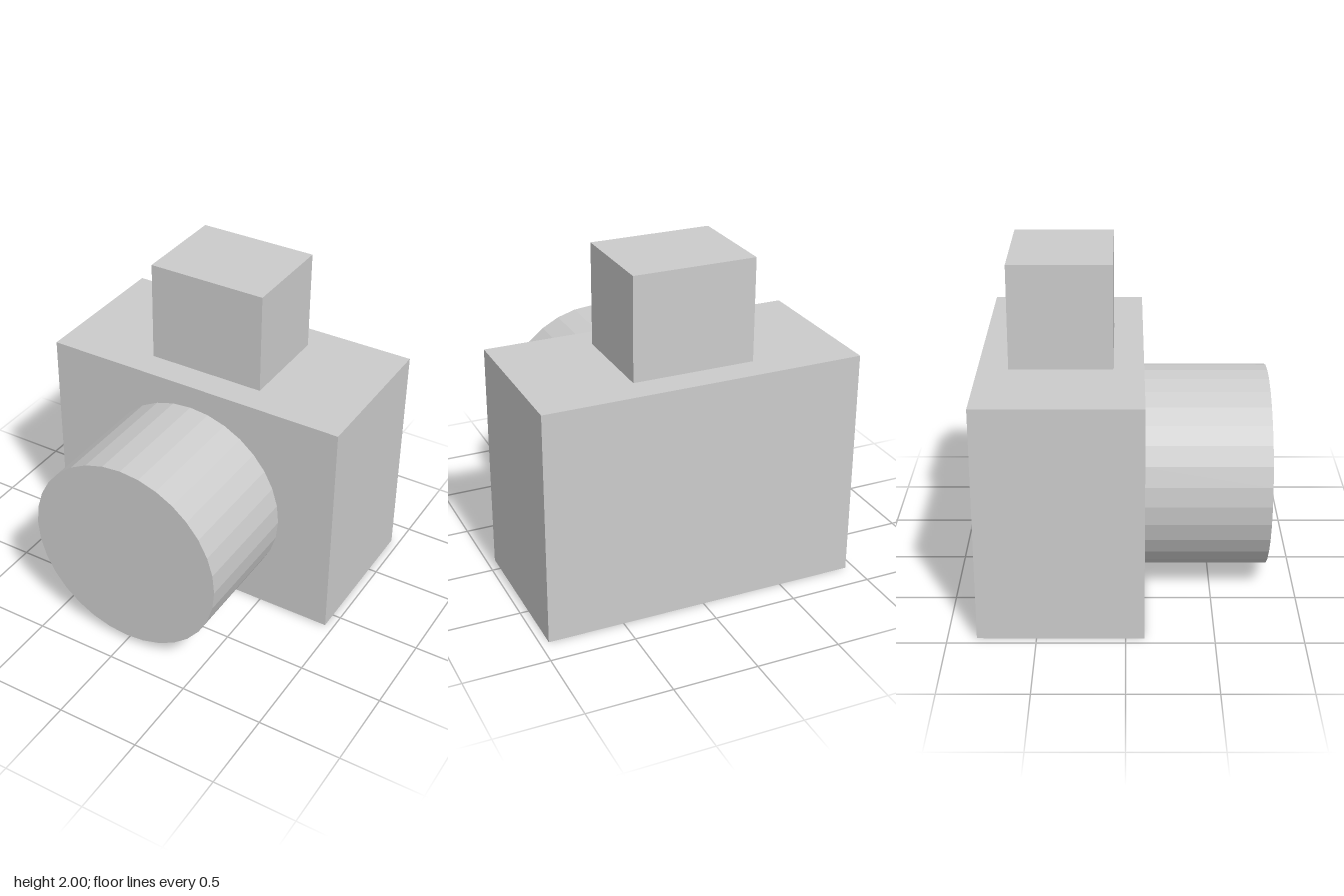
import * as THREE from 'three';

const material = new THREE.MeshStandardMaterial({ color: 0xcccccc, flatShading: true });

// Box given by its minimum and maximum corners
function box(name, [x0, y0, z0], [x1, y1, z1]) {
  const mesh = new THREE.Mesh(new THREE.BoxGeometry(x1 - x0, y1 - y0, z1 - z0), material);
  mesh.position.set((x0 + x1) / 2, (y0 + y1) / 2, (z0 + z1) / 2);
  mesh.name = name;
  return mesh;
}

export function createModel() {
  const camera = new THREE.Group();
  camera.name = 'camera';

  // Body block and the viewfinder standing on it
  camera.add(box('body', [-0.95, 0, -0.835], [0.95, 1.39, 0.105]));
  camera.add(box('viewfinder', [-0.365, 1.39, -0.66], [0.36, 2, -0.07]));

  // Faceted lens barrel pointing forward, with a vertex at the top
  const back = 0.105, front = 0.835;
  const lensGeometry = new THREE.CylinderGeometry(0.603, 0.603, front - back, 32);
  lensGeometry.rotateX(Math.PI / 2);
  const lens = new THREE.Mesh(lensGeometry, material);
  lens.position.set(0, 0.645, (front + back) / 2);
  lens.name = 'lens';
  camera.add(lens);

  return camera;
}
